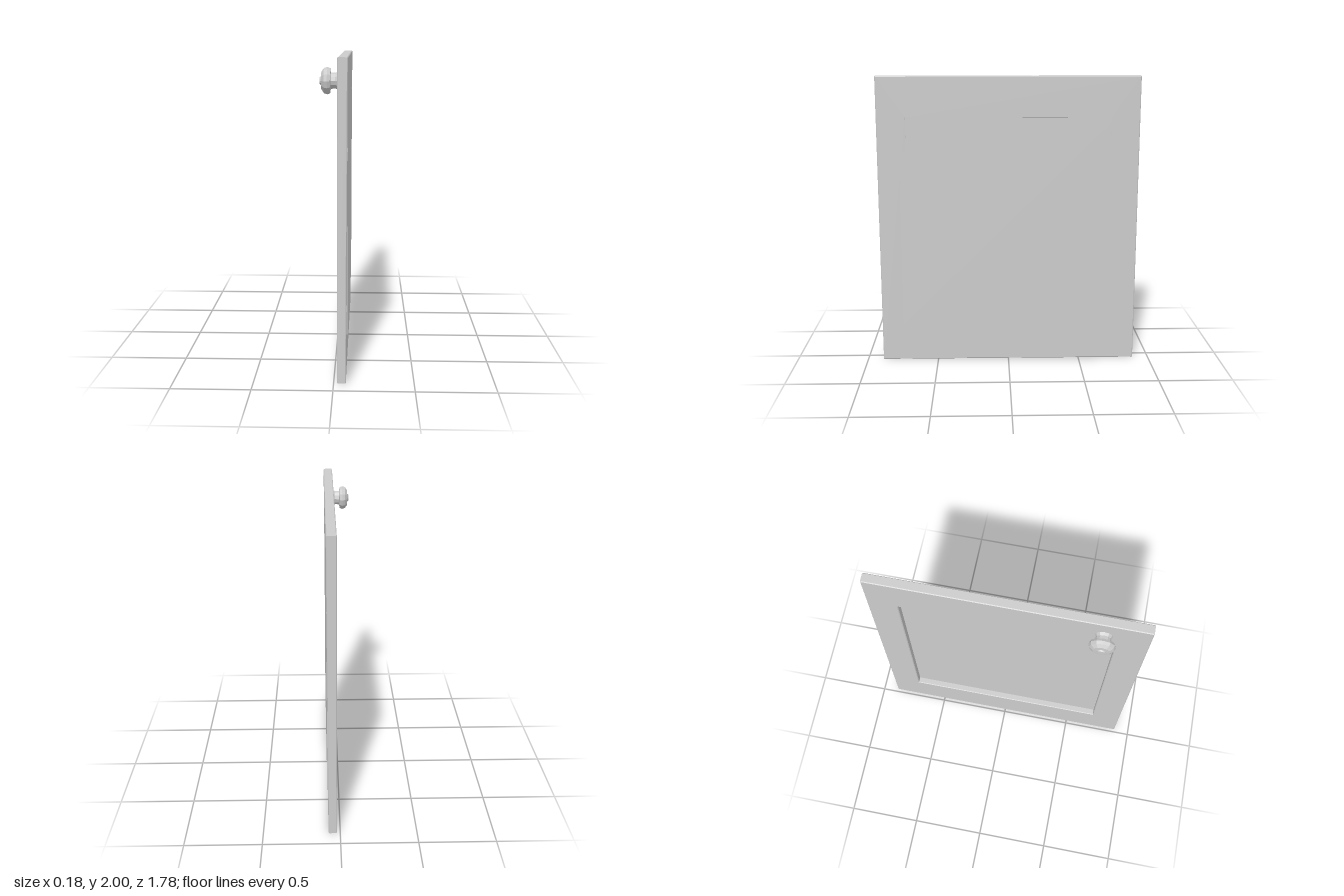
import * as THREE from 'three';

const W = 0.89, H = 2;            // half width along z, height
const STILE = 0.2, RAIL = 0.28;   // frame widths
const INNER = 0.021;              // x of the knob-side face

function rectPoints(halfWidth, y0, y1) {
  return [[-halfWidth, y0], [halfWidth, y0], [halfWidth, y1], [-halfWidth, y1]]
    .map(([x, y]) => new THREE.Vector2(x, y));
}

export function createModel() {
  const model = new THREE.Group();
  const material = new THREE.MeshStandardMaterial({ color: 0xcccccc, flatShading: true });
  const add = (name, geometry, x = 0, y = 0, z = 0) => {
    const mesh = new THREE.Mesh(geometry, material);
    mesh.name = name;
    mesh.position.set(x, y, z);
    model.add(mesh);
    return mesh;
  };

  // Door frame: a slab with a rectangular opening and slightly eased edges
  const shape = new THREE.Shape(rectPoints(W, 0, H));
  shape.holes.push(new THREE.Path(rectPoints(W - STILE, RAIL, H - RAIL).reverse()));
  const bevel = 0.005, depth = 0.06;
  const frame = new THREE.ExtrudeGeometry(shape, {
    depth: depth - 2 * bevel, bevelEnabled: true, bevelSegments: 1,
    bevelSize: bevel, bevelThickness: bevel, bevelOffset: -bevel,
  });
  frame.translate(0, 0, bevel);
  frame.rotateY(Math.PI / 2);
  // The outer face leans out a little toward the top
  const p = frame.attributes.position;
  for (let i = 0; i < p.count; i++) {
    if (p.getX(i) > depth / 2) p.setX(i, p.getX(i) - 0.005 + 0.004 * p.getY(i));
  }
  frame.computeVertexNormals();
  add('doorFrame', frame, INNER);

  // Thin panel: deeply recessed on the knob side, near flush outside
  const x0 = 0.062, x1 = 0.082;
  add('doorPanel', new THREE.BoxGeometry(x1 - x0, H - 2 * RAIL + 0.03, 2 * (W - STILE) + 0.1),
    (x0 + x1) / 2, H / 2, 0);

  // Faceted knob: neck, undercut head, and a small central button
  const profile = [
    [0, 0], [0.058, 0], [0.048, 0.022], [0.05, 0.05], [0.076, 0.054], [0.084, 0.072],
    [0.077, 0.092], [0.055, 0.108], [0.028, 0.11], [0.022, 0.118], [0, 0.118],
  ].map(([r, y]) => new THREE.Vector2(r, y));
  const knob = new THREE.LatheGeometry(profile, 12);
  knob.rotateZ(Math.PI / 2);
  add('knob', knob, INNER + 0.004, 1.85, 0.605);

  return model;
}
